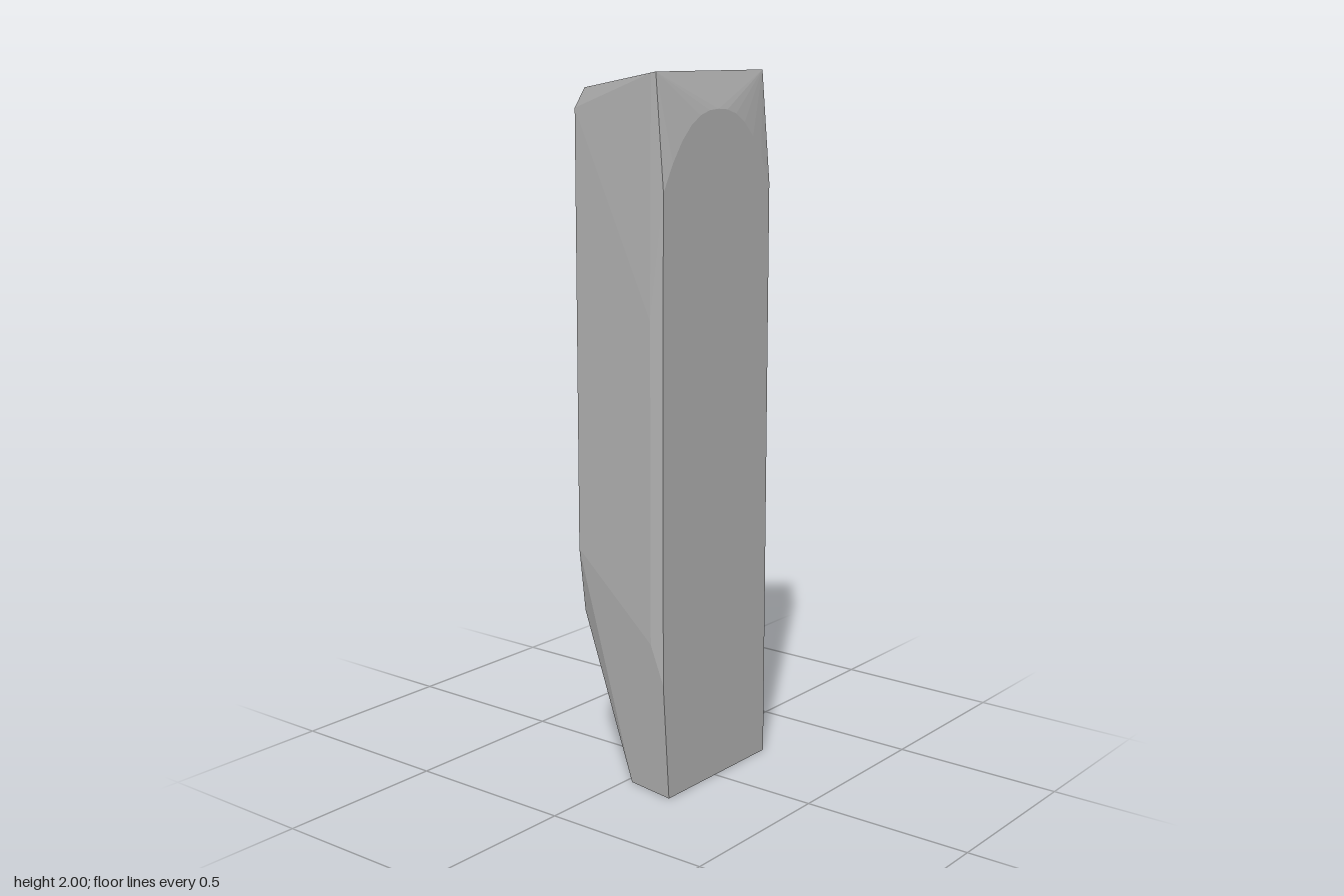
import * as THREE from 'three';
import { ConvexGeometry } from 'three/addons/geometries/ConvexGeometry.js';

export function createModel() {
  const group = new THREE.Group();
  const stone = new THREE.MeshStandardMaterial({ color: 0xb9b9b9 });
  stone.name = 'grey stone';

  const points = [];
  const add = (x, y, z) => points.push(new THREE.Vector3(x, y, z));

  // slanted foot
  add(0.02, 0, -0.24);
  add(0.174, 0, -0.24);
  add(0.02, 0, 0.19);
  add(0.174, 0, 0.215);
  add(0.02, 0.4, -0.24);

  // narrow side, slightly tapered at its lower front corner
  add(-0.175, 0.47, -0.045);
  add(-0.175, 0.47, 0.162);
  add(-0.175, 0.66, 0.186);
  add(-0.175, 1.9, -0.045);
  add(-0.175, 1.9, 0.186);

  // front corner
  add(0.13, 0.45, 0.24);
  add(0.174, 0.34, 0.24);
  add(0.13, 1.35, 0.24);
  add(0.174, 1.4, 0.24);

  // sloping top
  add(-0.14, 1.955, -0.045);
  add(-0.14, 1.955, 0.185);
  add(0.128, 1.985, -0.24);
  add(0.145, 2, -0.24);
  add(0.145, 2, 0.233);
  add(0.128, 1.997, 0.232);

  // rounded upper end of the broad side, below the bevel
  for (let i = -6; i <= 6; i++) {
    const t = i / 6;
    add(0.174, 1.9 - 0.21 * Math.pow(Math.abs(t), 2.4), 0.238 * t);
  }

  const slab = new THREE.Mesh(new ConvexGeometry(points), stone);
  slab.name = 'chiselledSlab';
  group.add(slab);
  return group;
}
